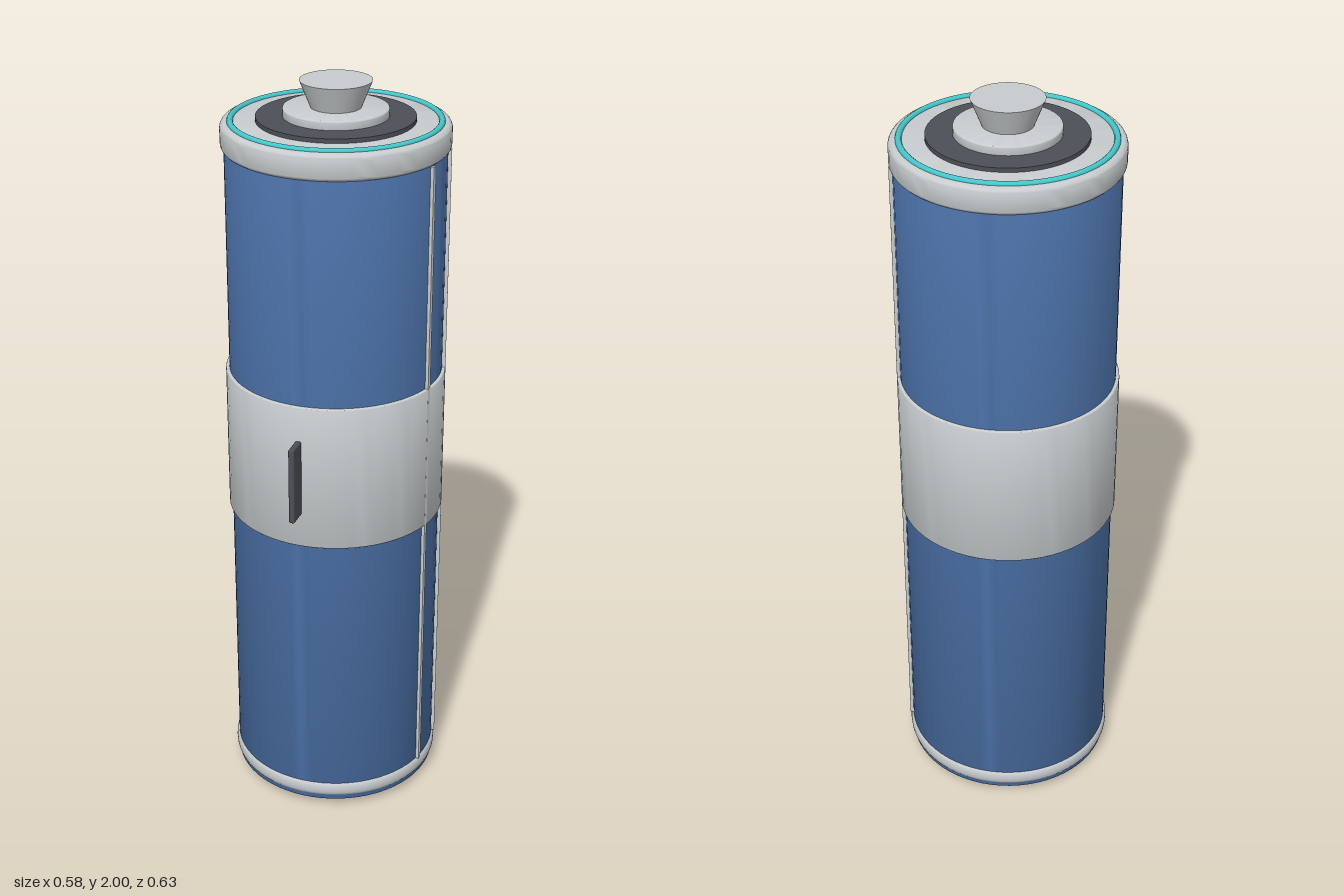
import * as THREE from 'three';
import { toCreasedNormals } from 'three/addons/utils/BufferGeometryUtils.js';
import { RoundedBoxGeometry } from 'three/addons/geometries/RoundedBoxGeometry.js';

const SEG = 64;

function material(name, color) {
  const m = new THREE.MeshStandardMaterial({ color });
  m.name = name;
  return m;
}

// Solid of revolution with rounded top and bottom edges
function roundedDisc(radius, y0, y1, bevel) {
  const pts = [new THREE.Vector2(0, y0)];
  for (const [cy, start] of [[y0 + bevel, -Math.PI / 2], [y1 - bevel, 0]]) {
    for (let i = 0; i <= 5; i++) {
      const a = start + (i / 5) * Math.PI / 2;
      pts.push(new THREE.Vector2(radius - bevel + bevel * Math.cos(a), cy + bevel * Math.sin(a)));
    }
  }
  pts.push(new THREE.Vector2(0, y1));
  return toCreasedNormals(new THREE.LatheGeometry(pts, SEG), 0.6);
}

function cylinder(rTop, rBottom, y0, y1) {
  return new THREE.CylinderGeometry(rTop, rBottom, y1 - y0, SEG).translate(0, (y0 + y1) / 2, 0);
}

export function createModel() {
  const model = new THREE.Group();
  const blue = material('blue casing', 0x4a6fa5);
  const light = material('light metal', 0xc8ccce);
  const dark = material('dark grey', 0x4c4f57);
  const teal = material('teal', 0x44c8cc);

  const add = (name, geometry, mat) => {
    const mesh = new THREE.Mesh(geometry, mat);
    mesh.name = name;
    model.add(mesh);
    return mesh;
  };

  // Casing, end rings and middle band
  add('casing', roundedDisc(0.28, 0.022, 1.89, 0.008), blue);
  add('topCap', roundedDisc(0.289, 1.83, 1.9, 0.016), light);
  add('bottomRing', new THREE.LatheGeometry([
    [0.278, 0.04], [0.283, 0.042], [0.286, 0.05], [0.287, 0.06],
    [0.286, 0.07], [0.283, 0.078], [0.278, 0.08],
  ].map(([x, y]) => new THREE.Vector2(x, y)), SEG), light);
  add('middleBand', roundedDisc(0.289, 0.84, 1.24, 0.004), light);

  // Glowing ring set into the top
  add('tealRing', new THREE.TorusGeometry(0.263, 0.008, 10, SEG)
    .rotateX(Math.PI / 2).translate(0, 1.9, 0), teal);

  // Stacked terminal on top
  add('insulatorDisc', cylinder(0.2, 0.2, 1.89, 1.911), dark);
  add('terminalBase', roundedDisc(0.133, 1.9, 1.933, 0.004), light);
  add('terminalKnob', cylinder(0.091, 0.064, 1.933, 2), light);

  // Contact underneath
  add('bottomContact', cylinder(0.113, 0.113, 0, 0.03), light);

  // Two lengthwise seams on the model's left side
  for (const side of [-1, 1]) {
    const seam = add('seam', new THREE.BoxGeometry(0.012, 1.75, 0.01), light);
    const a = side * 0.262;
    seam.position.set(0.283 * Math.cos(a), 0.955, 0.283 * Math.sin(a));
    seam.rotation.y = -a;
  }

  // Upright switch on the front of the band
  add('switch', new RoundedBoxGeometry(0.016, 0.21, 0.07, 2, 0.005).translate(0, 1.04, 0.308), dark);

  // Centre the overall depth, switch included
  for (const part of model.children) part.position.z -= 0.027;
  return model;
}
